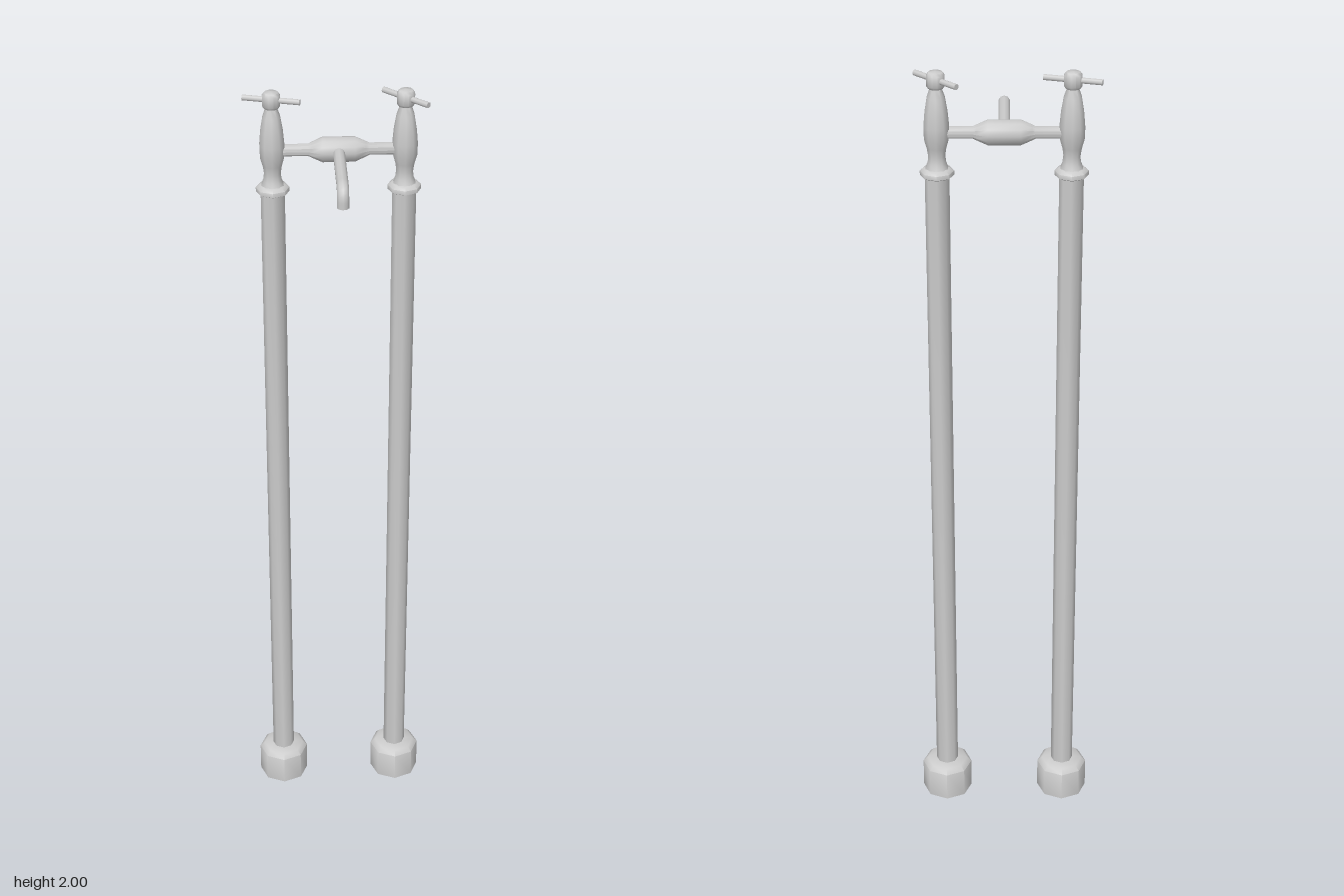
import * as THREE from 'three';
import { toCreasedNormals } from 'three/addons/utils/BufferGeometryUtils.js';

const material = new THREE.MeshStandardMaterial({ color: 0xcccccc, side: THREE.DoubleSide });
const PIPE_X = 0.152, PIPE_Z = -0.083, BAR_Y = 1.857;

function addMesh(parent, name, geometry) {
  const mesh = new THREE.Mesh(geometry, material);
  mesh.name = name;
  parent.add(mesh);
  return mesh;
}

// Turned part from [radius, height] pairs, smooth around and creased at hard steps
function turned(profile, sides) {
  const points = profile.map(([r, y]) => new THREE.Vector2(r, y));
  return toCreasedNormals(new THREE.LatheGeometry(points, sides), 0.9);
}

// Floor pipe with base, valve body and cross handle
function createStandpipe(name, x, handleAngle) {
  const pipe = new THREE.Group();
  pipe.name = name;
  pipe.position.set(x, 0, PIPE_Z);

  addMesh(pipe, 'base', turned([[0, 0], [0.064, 0], [0.064, 0.078], [0.052, 0.09], [0.026, 0.092]], 8));
  addMesh(pipe, 'pipe', turned([[0.028, 0.085], [0.028, 1.756]], 8));
  addMesh(pipe, 'collar', turned([[0.027, 1.75], [0.039, 1.756], [0.039, 1.766], [0.031, 1.772], [0.02, 1.775]], 8));
  addMesh(pipe, 'valveBody', turned([
    [0.028, 1.77], [0.022, 1.785], [0.02, 1.802], [0.023, 1.822], [0.029, 1.843],
    [0.03, 1.872], [0.027, 1.905], [0.021, 1.94], [0.015, 1.957], [0.014, 1.968]
  ], 10));

  const handle = new THREE.Group();
  handle.name = 'handle';
  handle.position.y = 1.98;
  handle.rotation.y = handleAngle;
  pipe.add(handle);
  addMesh(handle, 'handleHub', turned([
    [0, -0.019], [0.017, -0.019], [0.021, -0.013], [0.021, 0.011], [0.016, 0.018], [0, 0.02]
  ], 12));
  const bar = new THREE.CylinderGeometry(0.007, 0.007, 0.134, 8);
  bar.rotateZ(Math.PI / 2);
  addMesh(handle, 'handleBar', bar);
  return pipe;
}

export function createModel() {
  const model = new THREE.Group();
  model.name = 'floorStandingTap';
  model.add(createStandpipe('rightStandpipe', -PIPE_X, -Math.PI / 12));
  model.add(createStandpipe('leftStandpipe', PIPE_X, -Math.PI / 4));

  // Crossbar swelling into a mixer body in the middle
  const crossbar = turned([
    [0.014, -PIPE_X], [0.014, -0.07], [0.018, -0.062], [0.029, -0.037],
    [0.029, 0.037], [0.018, 0.062], [0.014, 0.07], [0.014, PIPE_X]
  ], 12);
  crossbar.rotateZ(-Math.PI / 2);
  addMesh(model, 'crossbar', crossbar).position.set(0, BAR_Y, PIPE_Z);

  // Spout running forward, then bending down
  const path = new THREE.CurvePath();
  const at = (y, z) => new THREE.Vector3(0, y, z);
  path.add(new THREE.LineCurve3(at(BAR_Y, PIPE_Z), at(BAR_Y, 0.103)));
  path.add(new THREE.QuadraticBezierCurve3(at(BAR_Y, 0.103), at(BAR_Y, 0.133), at(BAR_Y - 0.028, 0.133)));
  path.add(new THREE.LineCurve3(at(BAR_Y - 0.028, 0.133), at(1.815, 0.133)));
  addMesh(model, 'spout', new THREE.TubeGeometry(path, 48, 0.014, 10));
  const outlet = new THREE.CircleGeometry(0.014, 10);
  outlet.rotateX(Math.PI / 2);
  addMesh(model, 'spoutOutlet', outlet).position.set(0, 1.815, 0.133);

  return model;
}
